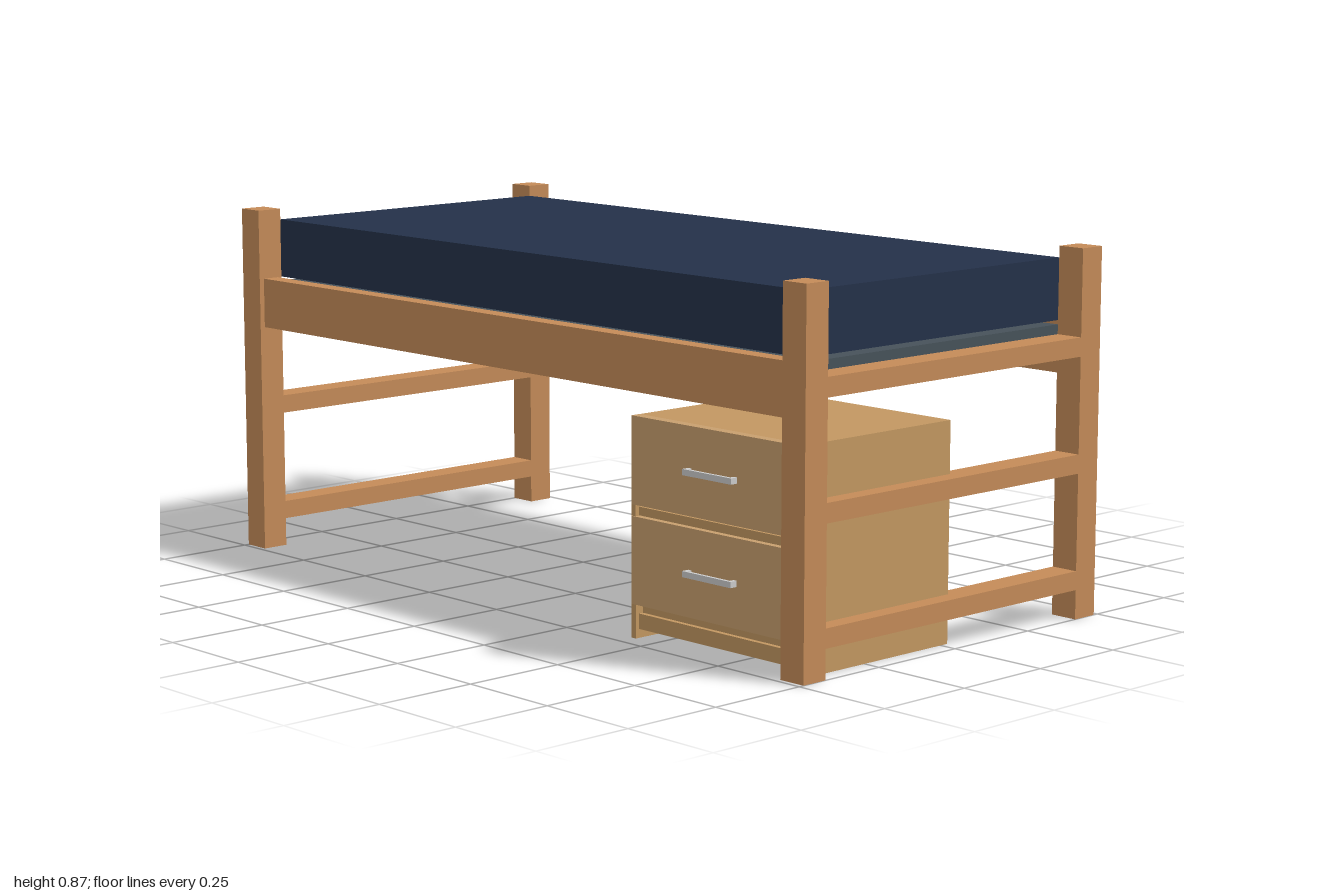
import * as THREE from 'three';

const mat = (color) => new THREE.MeshStandardMaterial({ color });
const wood = mat(0xc48b58);
const oak = mat(0xc29761);
const drawerWood = mat(0xc89f6e);
const fabric = mat(0x243149);
const steel = mat(0x47525a);
const metal = mat(0xcccccc);

// Box given by its min and max on each axis
function box(parent, name, material, [x0, x1], [y0, y1], [z0, z1]) {
  const mesh = new THREE.Mesh(new THREE.BoxGeometry(x1 - x0, y1 - y0, z1 - z0), material);
  mesh.position.set((x0 + x1) / 2, (y0 + y1) / 2, (z0 + z1) / 2);
  mesh.name = name;
  parent.add(mesh);
}

const span = (s, a, b) => (s > 0 ? [a, b] : [-b, -a]);

function createBed() {
  const bed = new THREE.Group();
  bed.name = 'bed';
  for (const sx of [-1, 1]) {
    // Corner posts
    for (const sz of [-1, 1]) {
      box(bed, 'post', wood, span(sx, 0.93, 1), [0, 0.871], span(sz, 0.419, 0.487));
    }
    // Ladder rails of each end
    for (const y of [0.07, 0.346, 0.62]) {
      box(bed, 'endRail', wood, span(sx, 0.93, 1), [y, y + 0.045], [-0.419, 0.419]);
    }
  }
  // Long side rails
  for (const sz of [-1, 1]) {
    box(bed, 'sideRail', wood, [-0.93, 0.93], [0.573, 0.697], span(sz, 0.43, 0.474));
  }
  // Support deck, sunk between the end rails, and mattress
  box(bed, 'deck', steel, [-0.93, 0.93], [0.633, 0.688], [-0.419, 0.419]);
  box(bed, 'mattress', fabric, [-0.93, 0.93], [0.698, 0.844], [-0.419, 0.419]);
  return bed;
}

function createDresser() {
  const dresser = new THREE.Group();
  dresser.name = 'dresser';
  const [x0, x1] = [0.425, 0.957];
  const back = -0.022;
  const front = 0.458;
  const recess = 0.436;
  const t = 0.014;
  const inner = [x0 + t, x1 - t];
  // Carcass: sides reach the floor, the body sits between them
  box(dresser, 'leftSide', oak, [x1 - t, x1], [0, 0.514], [back, front]);
  box(dresser, 'rightSide', oak, [x0, x0 + t], [0, 0.514], [back, front]);
  box(dresser, 'body', oak, inner, [0.035, 0.514], [back + t, recess]);
  box(dresser, 'backPanel', oak, inner, [0.021, 0.514], [back, back + t]);
  box(dresser, 'baseRail', oak, inner, [0.021, 0.057], [recess, front - 0.01]);
  box(dresser, 'middleRail', oak, inner, [0.285, 0.305], [recess, front - 0.01]);

  // Drawer fronts with bar handles
  for (const y of [0.08, 0.311]) {
    const drawer = new THREE.Group();
    drawer.name = 'drawer';
    box(drawer, 'drawerFront', drawerWood, [x0 + 0.003, x1 - 0.003], [y, y + 0.204], [recess, front + 0.003]);
    const hy = [y + 0.095, y + 0.109];
    box(drawer, 'handleBar', metal, [0.614, 0.768], hy, [0.472, 0.48]);
    for (const x of [0.614, 0.758]) {
      box(drawer, 'handleMount', metal, [x, x + 0.01], hy, [front, 0.472]);
    }
    dresser.add(drawer);
  }
  return dresser;
}

export function createModel() {
  const model = new THREE.Group();
  model.name = 'bedWithDresser';
  model.add(createBed(), createDresser());
  return model;
}
